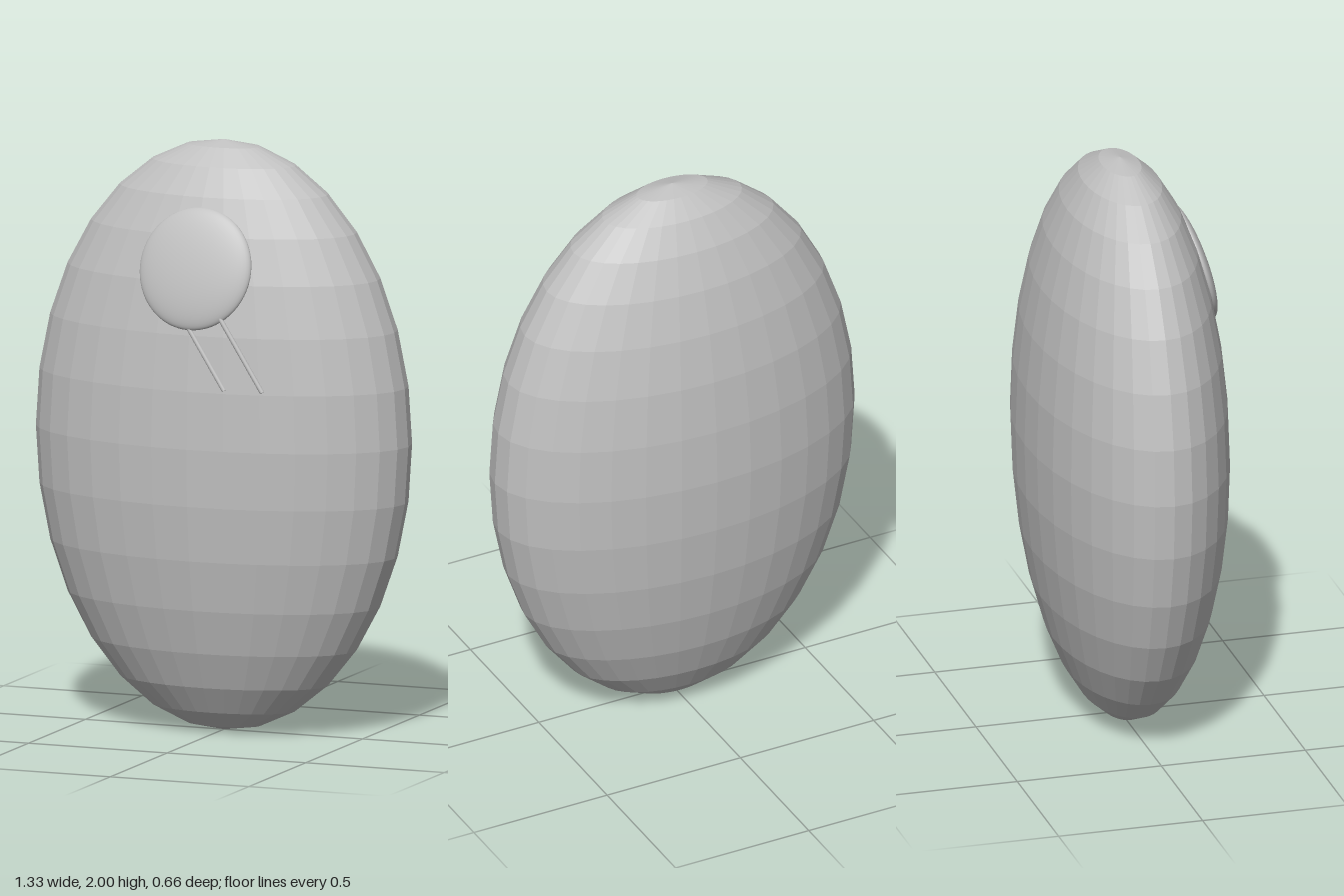
import * as THREE from 'three';

export function createModel() {
  const group = new THREE.Group();
  const grey = new THREE.MeshStandardMaterial({ color: 0xc0c0c0 });
  grey.name = 'grey';

  const add = (name, geometry) => {
    const mesh = new THREE.Mesh(geometry, grey);
    mesh.name = name;
    group.add(mesh);
    return mesh;
  };

  // Faceted, flattened egg-shaped body
  const bodyGeometry = new THREE.SphereGeometry(1, 32, 16).scale(0.665, 1, 0.332).toNonIndexed();
  bodyGeometry.computeVertexNormals();
  add('body', bodyGeometry).position.y = 1;

  // Smooth disc-like bump, leaning back with the slope of the body
  const bump = add('bump', new THREE.SphereGeometry(1, 48, 32).scale(0.2, 0.207, 0.039));
  bump.position.set(0, 1.6, 0.25);
  bump.rotation.x = -THREE.MathUtils.degToRad(16);

  // Two thin slanted rods below the bump
  const addRod = (name, start, end) => {
    const a = new THREE.Vector3(...start);
    const b = new THREE.Vector3(...end);
    const dir = b.clone().sub(a);
    const rod = add(name, new THREE.CylinderGeometry(0.008, 0.008, dir.length(), 16));
    rod.position.copy(a).add(b).multiplyScalar(0.5);
    rod.quaternion.setFromUnitVectors(new THREE.Vector3(0, 1, 0), dir.normalize());
  };
  addRod('innerRod', [-0.005, 1.41, 0.304], [0.13, 1.205, 0.316]);
  addRod('outerRod', [0.105, 1.45, 0.298], [0.262, 1.205, 0.303]);

  return group;
}
